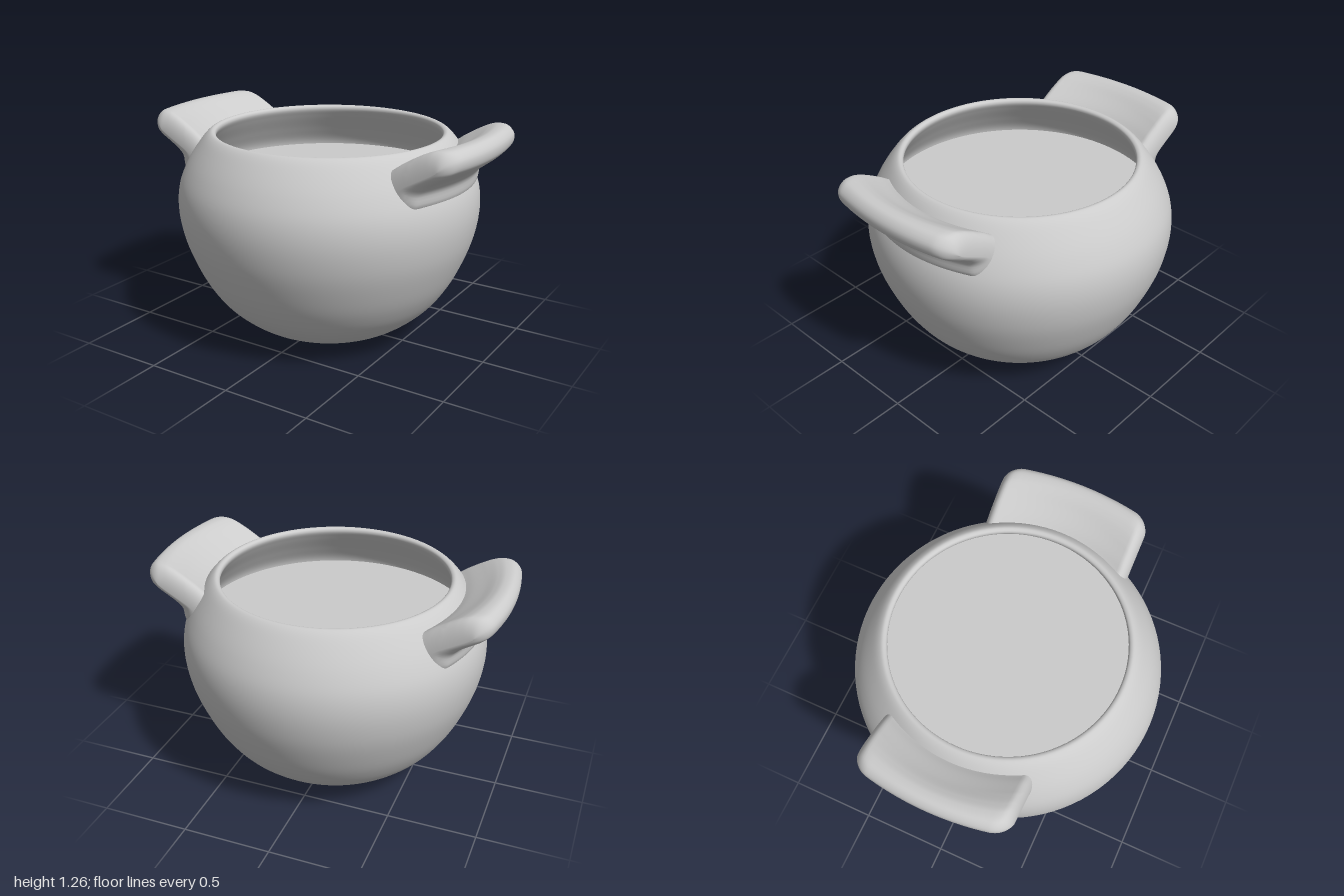
import * as THREE from 'three';
import { ParametricGeometry } from 'three/addons/geometries/ParametricGeometry.js';

const material = new THREE.MeshStandardMaterial({ color: 0xcccccc, side: THREE.DoubleSide });

function addMesh(parent, name, geometry) {
  const mesh = new THREE.Mesh(geometry, material);
  mesh.name = name;
  parent.add(mesh);
  return mesh;
}

function splineOf(points) {
  return new THREE.CatmullRomCurve3(points.map(([x, y]) => new THREE.Vector3(x, y, 0)), false, 'centripetal');
}

// Outer wall, rounded rim and inner wall down past the filling
function potGeometry() {
  const profile = splineOf([
    [0, 0], [0.15, 0.006], [0.3, 0.022], [0.45, 0.07], [0.62, 0.2], [0.72, 0.335], [0.79, 0.48],
    [0.84, 0.63], [0.86, 0.78], [0.847, 0.9], [0.803, 1.01], [0.74, 1.11], [0.685, 1.175],
    [0.658, 1.19], [0.64, 1.183], [0.636, 1.165], [0.66, 1.12], [0.725, 1.02], [0.775, 0.93], [0.785, 0.86],
  ]);
  const points = profile.getPoints(110).map((p) => new THREE.Vector2(Math.max(p.x, 0), p.y));
  return new THREE.LatheGeometry(points, 96);
}

// Upswept grip: one cross-section swept along the pot's side, closing round at both ends
function handleGeometry() {
  const top = [[0.69, 1.12], [0.715, 1.137], [0.75, 1.162], [0.82, 1.205], [0.88, 1.243], [0.92, 1.258], [0.965, 1.254]];
  const bottom = [[0.8, 0.9], [0.834, 0.95], [0.846, 1.02], [0.88, 1.062], [0.935, 1.106], [0.972, 1.135], [0.995, 1.165]];
  const outline = splineOf([...top, [0.997, 1.215], ...bottom.slice().reverse()]);
  const half = 0.43;
  const root = new THREE.Vector3(0.745, 1.01, 0);
  const axis = new THREE.Vector3(0.81, 0.59, 0).normalize();
  const mid = new THREE.Vector3();

  // Quarter-circle fall-off over the last stretch of the handle
  const round = (z, length) => {
    const t = Math.max(0, (Math.abs(z) - half + length) / length);
    return Math.sqrt(Math.max(0, 1 - t * t));
  };

  return new ParametricGeometry((u, v, target) => {
    const z = -half * Math.sin((v - 0.5) * Math.PI);
    const p = outline.getPoint(u);
    const along = p.clone().sub(root).dot(axis);
    mid.copy(root).addScaledVector(axis, along);
    p.sub(mid).multiplyScalar(round(z, 0.06));
    const shrink = 1 - 0.24 * (1 - round(z, 0.1));
    p.add(root).addScaledVector(axis, along * shrink);
    // The root follows the pot, the tip is a flatter arc
    const bend = THREE.MathUtils.mapLinear(THREE.MathUtils.clamp(p.x, 0.82, 1), 0.82, 1, 0.62, 0.3);
    target.set(p.x - bend * z * z, p.y, z);
  }, 56, 56);
}

export function createModel() {
  const model = new THREE.Group();
  model.name = 'pot';
  addMesh(model, 'potBody', potGeometry());

  // Level surface inside the pot
  const filling = addMesh(model, 'filling', new THREE.CircleGeometry(0.782, 96));
  filling.rotation.x = -Math.PI / 2;
  filling.position.y = 0.91;

  const handle = handleGeometry();
  addMesh(model, 'leftHandle', handle);
  addMesh(model, 'rightHandle', handle).rotation.y = Math.PI;
  return model;
}
